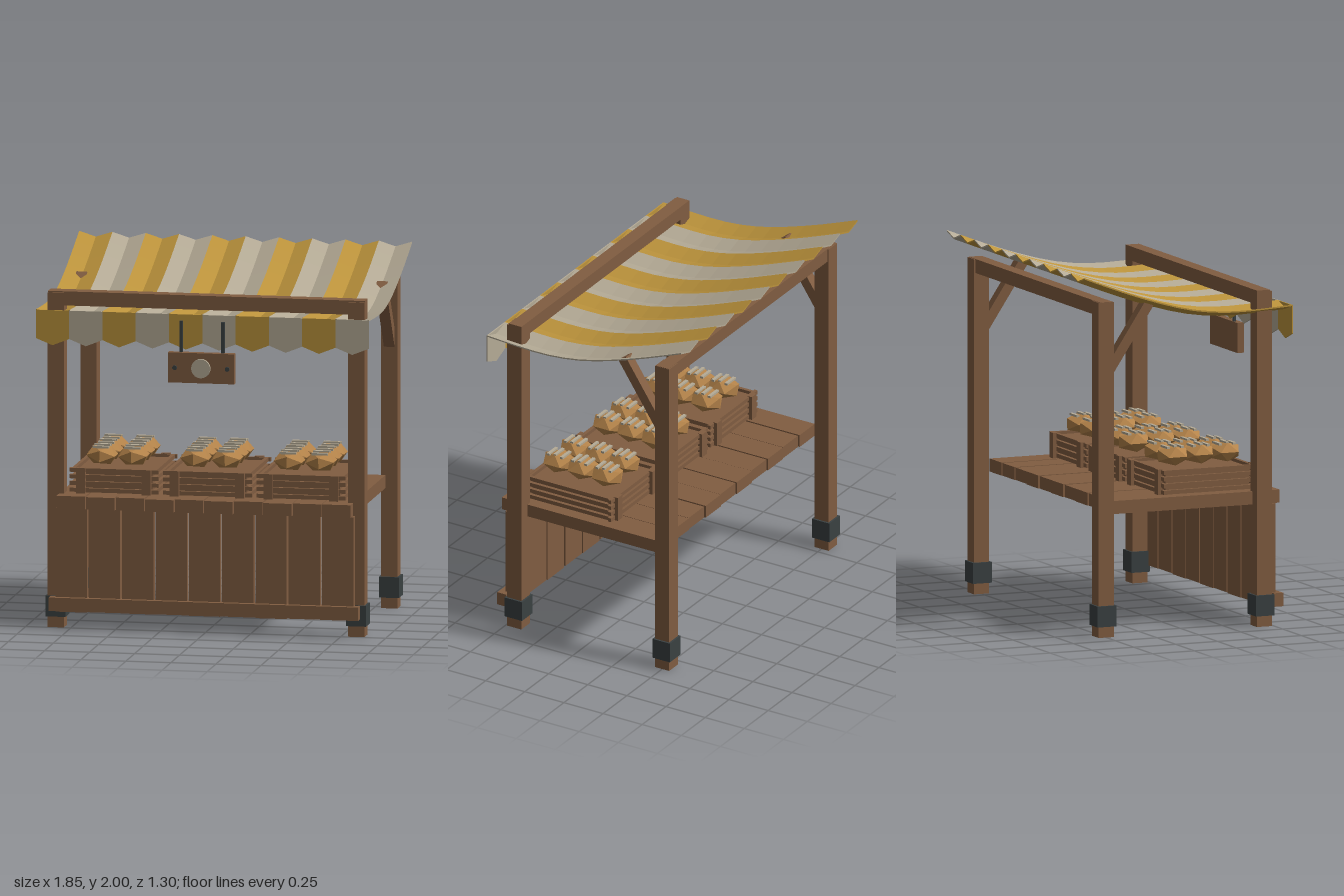
import * as THREE from 'three';

const mat = (name, color, extra = {}) => {
  const m = new THREE.MeshStandardMaterial({ color, ...extra });
  m.name = name;
  return m;
};

export function createModel() {
  const wood = mat('wood', 0x815d41);
  const iron = mat('iron', 0x3a4142);
  const yellow = mat('yellowCloth', 0xbd943c, { flatShading: true });
  const cream = mat('creamCloth', 0xb5ab96, { flatShading: true });
  const crust = mat('crust', 0xb4834a, { flatShading: true });

  const model = new THREE.Group();
  model.name = 'marketStall';

  const add = (name, geo, material, x, y, z, parent = model) => {
    const mesh = new THREE.Mesh(geo, material);
    mesh.name = name;
    mesh.position.set(x, y, z);
    parent.add(mesh);
    return mesh;
  };
  // Box given by its extents on each axis
  const box = (name, [x0, x1], [y0, y1], [z0, z1], material = wood, parent = model) =>
    add(name, new THREE.BoxGeometry(x1 - x0, y1 - y0, z1 - z0), material,
      (x0 + x1) / 2, (y0 + y1) / 2, (z0 + z1) / 2, parent);

  // Posts with iron shoes, and rear braces
  for (const s of [-1, 1]) {
    const x = s * 0.835;
    for (const z of [0.445, -0.5]) {
      box('post', [x - 0.045, x + 0.045], [0, 1.85], [z - 0.045, z + 0.045]);
      box('postShoe', [x - 0.056, x + 0.056], [0.06, 0.175], [z - 0.056, z + 0.056], iron);
    }
    const lower = new THREE.Vector2(-0.5, 1.43), upper = new THREE.Vector2(-0.235, 1.828);
    const brace = add('brace', new THREE.BoxGeometry(0.06, lower.distanceTo(upper), 0.056), wood,
      x, (lower.y + upper.y) / 2, (lower.x + upper.x) / 2);
    brace.rotation.x = Math.atan2(upper.x - lower.x, upper.y - lower.y);
  }
  box('frontBeam', [-0.88, 0.88], [1.78, 1.858], [0.4, 0.478]);
  box('rearBeam', [-0.878, 0.878], [1.775, 1.852], [-0.538, -0.462]);

  // Counter planks running front to back
  const jitter = [0, 0.008, 0.003, 0.01, 0.002, 0.007, 0, 0.009, 0.004, 0];
  for (let i = 0; i < 10; i++) {
    const x = -0.82 + i * 0.164;
    box('counterPlank', [x + 0.003, x + 0.161], [0.668, 0.74 - jitter[i] * 0.4],
      [-0.44 + jitter[i], 0.563 - jitter[9 - i]]);
  }

  // Front panel and kick rail
  for (let i = 0; i < 9; i++) {
    const x = -0.832 + i * 0.185;
    box('frontPanelPlank', [x + 0.005, x + 0.179], [0.094 + jitter[i] * 0.5, 0.668], [0.49, 0.535]);
  }
  box('kickRail', [-0.86, 0.86], [0.102, 0.176], [0.51, 0.566]);

  // Crates of loaves
  const loafGeo = new THREE.IcosahedronGeometry(1, 0).scale(0.092, 0.06, 0.1);
  for (const cx of [-0.52, 0, 0.52]) {
    const crate = new THREE.Group();
    crate.name = 'breadCrate';
    crate.position.set(cx, 0, 0.17);
    model.add(crate);
    box('crateFill', [-0.21, 0.21], [0.74, 0.862], [-0.25, 0.25], wood, crate);
    for (const y of [0.756, 0.793, 0.83, 0.866]) {
      for (const s of [-1, 1]) {
        add('crateSlat', new THREE.BoxGeometry(0.495, 0.022, 0.02), wood, 0, y, s * 0.265, crate);
        add('crateSlat', new THREE.BoxGeometry(0.02, 0.022, 0.51), wood, s * 0.225, y, 0, crate);
      }
    }
    for (const sx of [-1, 1]) {
      for (const sz of [-1, 1]) {
        add('crateCorner', new THREE.BoxGeometry(0.05, 0.14, 0.026), wood, sx * 0.182, 0.81, sz * 0.28, crate);
      }
      for (const [row, z] of [-0.155, 0, 0.155].entries()) {
        const loaf = add('loaf', loafGeo, crust, sx * 0.088, 0.937, z, crate);
        loaf.rotation.z = sx * 0.04 * (row - 1);
        for (const dz of [-0.042, 0, 0.042]) {
          add('loafScore', new THREE.BoxGeometry(0.09, 0.012, 0.018), cream,
            sx * 0.088, 0.99 - Math.abs(dz) * 0.15, z + dz, crate);
        }
      }
    }
  }

  // Canopy: sagging cloth, each stripe folded into a shallow valley
  const sag = new THREE.SplineCurve([
    [0.592, 1.775], [0.4, 1.764], [0.2, 1.762], [0, 1.786], [-0.2, 1.838], [-0.42, 1.912], [-0.648, 2],
  ].map(([z, y]) => new THREE.Vector2(z, y))).getPoints(12);
  const W = 0.185, fold = 0.029, thick = 0.008;

  const stripeGeometry = () => {
    const section = [[0, 0], [W / 2, -fold], [W, 0], [W, -thick], [W / 2, -fold - thick], [0, -thick]];
    const n = section.length, pos = [], idx = [];
    for (const p of sag) for (const [x, y] of section) pos.push(x, p.y + y, p.x);
    for (let r = 0; r < sag.length - 1; r++) {
      for (let k = 0; k < n; k++) {
        const a = r * n + k, b = r * n + (k + 1) % n;
        idx.push(a, b, a + n, b, b + n, a + n);
      }
    }
    const e = (sag.length - 1) * n;
    for (const [a, b, c, d] of [[0, 5, 4, 1], [1, 4, 3, 2]]) {
      idx.push(a, b, c, a, c, d, e + a, e + c, e + b, e + a, e + d, e + c);
    }
    const g = new THREE.BufferGeometry();
    g.setAttribute('position', new THREE.Float32BufferAttribute(pos, 3));
    g.setIndex(idx);
    const flat = g.toNonIndexed();
    flat.computeVertexNormals();
    return flat;
  };
  const canopyGeo = stripeGeometry();

  // Pointed valance flap below the front edge
  const flap = new THREE.Shape([[0, 1.615], [W / 2, 1.578], [W, 1.615], [W, 1.772], [0, 1.772]]
    .map(([x, y]) => new THREE.Vector2(x, y)));
  const flapGeo = new THREE.ExtrudeGeometry(flap, { depth: 0.008, bevelEnabled: false });

  for (let i = 0; i < 10; i++) {
    const cloth = i % 2 ? cream : yellow;
    add('canopyStripe', canopyGeo, cloth, -0.925 + i * W, 0, 0);
    add('valanceFlap', flapGeo, cloth, -0.925 + i * W, 0, 0.588);
  }

  // Hanging sign
  const sign = new THREE.Group();
  sign.name = 'hangingSign';
  model.add(sign);
  box('signBoard', [-0.184, 0.184], [1.4, 1.566], [0.593, 0.632], wood, sign);
  const disc = (name, r, depth, sides, material, x) =>
    add(name, new THREE.CylinderGeometry(r, r, depth, sides).rotateX(Math.PI / 2), material,
      x, 1.483, 0.63 + depth / 2, sign);
  disc('signDisc', 0.053, 0.018, 20, cream, 0);
  for (const s of [-1, 1]) {
    box('signHanger', [s * 0.116 - 0.009, s * 0.116 + 0.009], [1.56, 1.738], [0.597, 0.612], iron, sign);
    disc('signBolt', 0.013, 0.012, 10, iron, s * 0.146);
  }

  return model;
}
